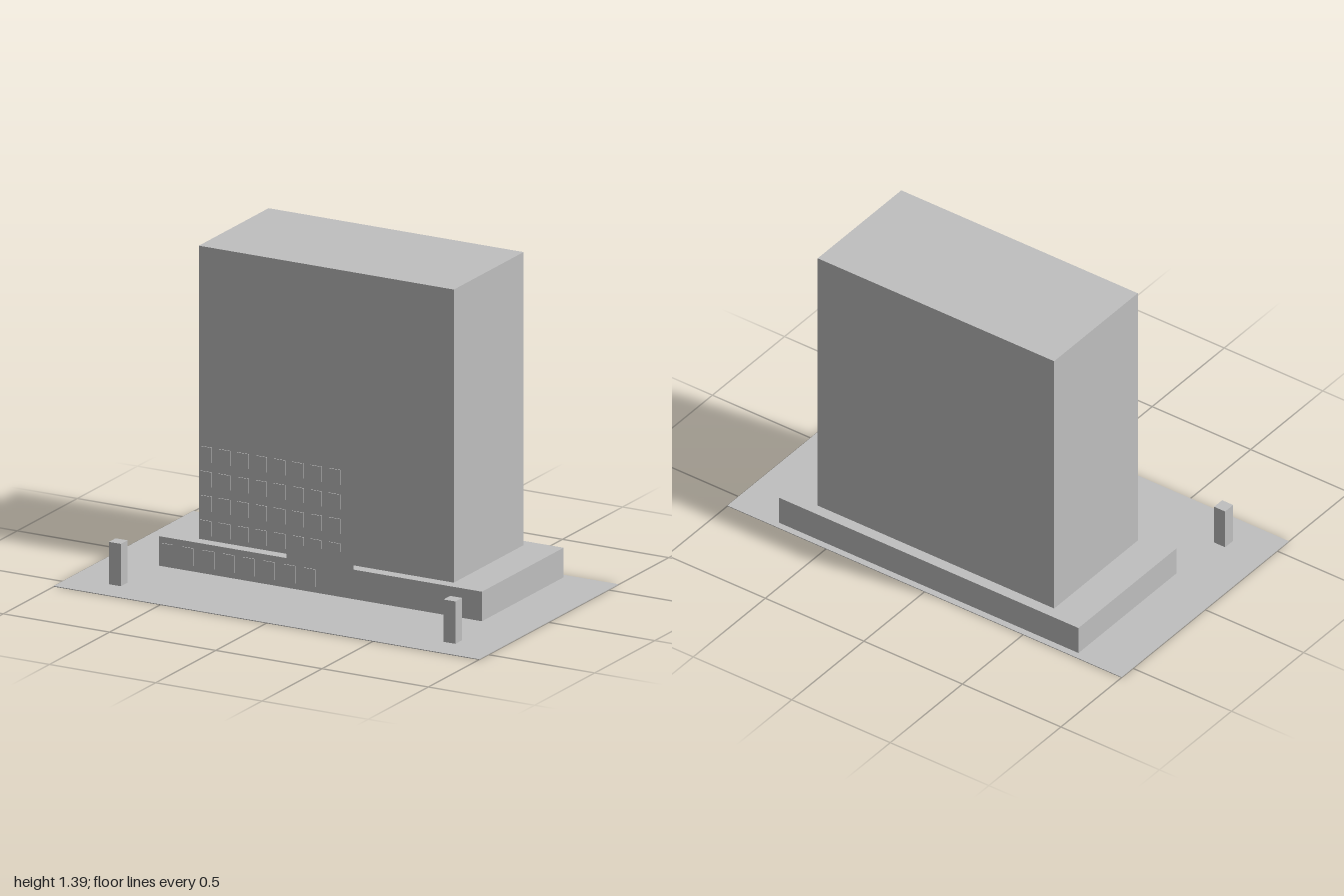
import * as THREE from 'three';

const concrete = new THREE.MeshStandardMaterial({ color: 0xbfbfbf });
concrete.name = 'concrete grey';
concrete.side = THREE.DoubleSide;

// Box given by its limits on each axis
function block(name, [x0, x1], [y0, y1], [z0, z1]) {
  const mesh = new THREE.Mesh(new THREE.BoxGeometry(x1 - x0, y1 - y0, z1 - z0), concrete);
  mesh.position.set((x0 + x1) / 2, (y0 + y1) / 2, (z0 + z1) / 2);
  mesh.name = name;
  return mesh;
}

// Row of thin window panes on a front wall at z = wall
function windowRow(name, count, firstX, stepX, width, y, wall) {
  const row = new THREE.Group();
  row.name = name;
  for (let i = 0; i < count; i++) {
    const x = firstX + i * stepX;
    row.add(block('windowPane', [x - width / 2, x + width / 2], y, [wall - 0.001, wall + 0.004]));
  }
  return row;
}

export function createModel() {
  const model = new THREE.Group();
  model.name = 'towerBlock';

  // Ground, low podium and tall slab
  model.add(block('groundPlate', [-1, 1], [0, 0.003], [-0.58, 0.58]));
  model.add(block('podium', [-0.76, 0.76], [0.003, 0.13], [-0.55, 0.13]));
  model.add(block('tower', [-0.6, 0.6], [0.13, 1.39], [-0.5, 0.08]));

  // Windows fill the right-hand part of the lower front
  for (const y of [0.182, 0.288, 0.393, 0.499]) {
    model.add(windowRow('towerWindows', 8, -0.565, 0.0864, 0.054, [y - 0.032, y + 0.032], 0.08));
  }
  model.add(windowRow('podiumWindows', 8, -0.718, 0.0955, 0.056, [0.028, 0.103], 0.13));

  // Blank entrance panel standing on the podium's front edge
  const panel = new THREE.Mesh(new THREE.PlaneGeometry(0.315, 0.077), concrete);
  panel.position.set(0, 0.158, 0.132);
  panel.name = 'entrancePanel';
  model.add(panel);

  // Gate posts
  for (const side of [-1, 1]) {
    const x = side * 0.787;
    model.add(block(side > 0 ? 'leftGatePost' : 'rightGatePost', [x - 0.028, x + 0.028], [0.003, 0.185], [0.392, 0.448]));
  }
  return model;
}
